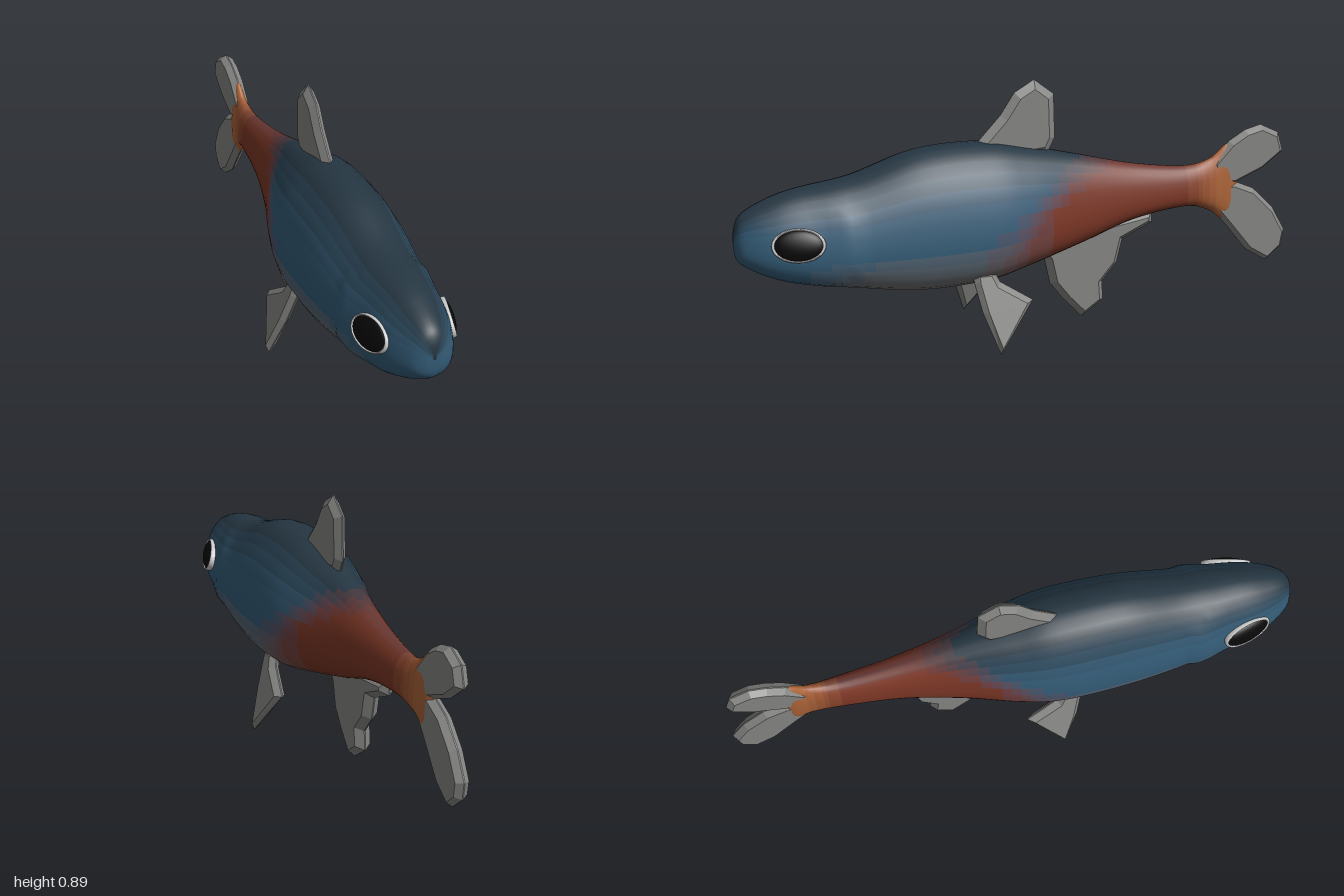
import * as THREE from 'three';

const { smoothstep, lerp, clamp } = THREE.MathUtils;
const mat = (color) => new THREE.MeshStandardMaterial({ color });
const curve = (pts) => new THREE.SplineCurve(pts.map(([a, b]) => new THREE.Vector2(a, b)));

// Body stations from nose to tail: z, underside y, back y, half width
const STATIONS = [
  [1.0, 0.425, 0.435, 0.004], [0.995, 0.37, 0.48, 0.035], [0.97, 0.34, 0.52, 0.07],
  [0.9, 0.3, 0.555, 0.11], [0.8, 0.265, 0.585, 0.138], [0.6, 0.228, 0.615, 0.165],
  [0.38, 0.193, 0.682, 0.185], [0.15, 0.2, 0.69, 0.188], [0, 0.235, 0.662, 0.163],
  [-0.2, 0.29, 0.612, 0.105], [-0.4, 0.355, 0.56, 0.068], [-0.6, 0.38, 0.53, 0.048],
  [-0.7, 0.355, 0.548, 0.035], [-0.77, 0.31, 0.595, 0.026], [-0.8, 0.41, 0.49, 0.008],
];
// Half cross-section from keel to ridge: x as a share of half width, y as a share of height
const SECTION = curve([[0, 0], [0.4, 0.035], [0.76, 0.115], [0.94, 0.22], [1, 0.36],
  [0.95, 0.54], [0.82, 0.73], [0.58, 0.88], [0.3, 0.975], [0, 1]]);

// Skin colour at a point: blue flank, dark back, grey belly, red wedge, orange tail root
const step = (w) => Math.round(clamp(w, 0, 1) * 5) / 5;
function skinColor(z, v) {
  const c = new THREE.Color(0x335b76);
  const limit = lerp(0.3, 0.95, smoothstep(-z, -0.15, 0.4));
  const red = smoothstep(-z, -0.25, 0.12) * (1 - smoothstep(v, limit - 0.1, limit + 0.3));
  c.lerp(new THREE.Color(0x253642), step(smoothstep(v, 0.65, 0.95)));
  c.lerp(new THREE.Color(0x6c6c6c), step((1 - smoothstep(v, 0.08, 0.45)) * smoothstep(-z, -0.85, -0.5)));
  c.lerp(new THREE.Color(0x7a3625), step(red));
  c.lerp(new THREE.Color(0xab6338), step(smoothstep(-z, 0.58, 0.74)));
  return c.getHex();
}

function makeBody() {
  const group = new THREE.Group();
  group.name = 'body';
  const along = curve(STATIONS.map((s) => [s[0], s[3]]));
  const heights = curve(STATIONS.map((s) => [s[1], s[2]]));
  const rows = 84, half = 16, cols = half * 2;
  const pos = [], info = [], index = [];
  for (let i = 0; i <= rows; i++) {
    const zw = along.getPoint(i / rows), h = heights.getPoint(i / rows);
    for (let j = 0; j < cols; j++) {
      const side = j <= half ? 1 : -1;
      const p = SECTION.getPoint((side > 0 ? j : cols - j) / half);
      const y = lerp(h.x, h.y, p.y);
      // Raised rear edge of the gill cover
      const edge = zw.x - 0.6 - 3 * (y - 0.43) ** 2;
      const gill = edge > 0 ? 0.011 * (1 - smoothstep(edge, 0.02, 0.14)) * p.x : 0;
      pos.push(side * (p.x * zw.y + gill), y, zw.x);
      info.push([zw.x, p.y]);
    }
  }
  const patches = new Map();
  for (let i = 0; i < rows; i++) {
    for (let j = 0; j < cols; j++) {
      const k = (j + 1) % cols;
      const a = i * cols + j, b = i * cols + k, c = a + cols, d = b + cols;
      const quad = [a, c, b, b, c, d];
      index.push(...quad);
      const color = skinColor((info[a][0] + info[d][0]) / 2, (info[a][1] + info[d][1]) / 2);
      if (!patches.has(color)) patches.set(color, []);
      patches.get(color).push(...quad);
    }
  }
  const whole = new THREE.BufferGeometry();
  whole.setAttribute('position', new THREE.Float32BufferAttribute(pos, 3));
  whole.setIndex(index);
  whole.computeVertexNormals();
  // One mesh per colour, sharing the normals of the whole skin
  for (const [color, faces] of patches) {
    whole.setIndex(faces);
    const mesh = new THREE.Mesh(whole.toNonIndexed(), mat(color));
    mesh.name = 'skinPatch';
    group.add(mesh);
  }
  return group;
}

// Flat fin in the z-y plane with a bevelled rim; outline points are [z, y]
function makeFin(name, outline, thick, bevel, color = 0x858583) {
  const shape = new THREE.Shape(outline.map(([z, y]) => new THREE.Vector2(-z, y)));
  const geo = new THREE.ExtrudeGeometry(shape, {
    depth: 0.004, bevelThickness: thick, bevelSize: bevel, bevelOffset: -bevel, bevelSegments: 1,
  });
  geo.translate(0, 0, -0.002).rotateY(Math.PI / 2);
  const mesh = new THREE.Mesh(geo, mat(color));
  mesh.name = name;
  return mesh;
}

function makeEye(side) {
  const eye = new THREE.Group();
  eye.name = side > 0 ? 'leftEye' : 'rightEye';
  const pupil = new THREE.Mesh(new THREE.SphereGeometry(1, 28, 16), mat(0x080808));
  pupil.name = 'pupil';
  pupil.scale.set(0.083, 0.052, 0.022);
  const ring = new THREE.Mesh(new THREE.TorusGeometry(1, 0.07, 8, 32), mat(0xcccccc));
  ring.name = 'eyeRing';
  ring.scale.set(0.083, 0.053, 0.16);
  eye.add(pupil, ring);
  eye.position.set(side * 0.13, 0.436, 0.81);
  eye.lookAt(side * (0.13 + 0.92), 0.436 + 0.25, 0.81 + 0.24);
  return eye;
}

export function createModel() {
  const model = new THREE.Group();
  model.name = 'fish';
  model.add(makeBody());

  // Fins on the centre line
  model.add(
    makeFin('dorsalFin', [[0.17, 0.66], [0.155, 0.695], [0.08, 0.775], [0.03, 0.85], [-0.04, 0.89],
      [-0.11, 0.835], [-0.115, 0.68], [-0.09, 0.63], [0.03, 0.62]], 0.019, 0.025),
    makeFin('analFin', [[-0.05, 0.29], [-0.08, 0.24], [-0.1, 0.15], [-0.15, 0.085], [-0.22, 0.01],
      [-0.3, 0.065], [-0.295, 0.135], [-0.35, 0.2], [-0.37, 0.285], [-0.48, 0.335], [-0.48, 0.385],
      [-0.25, 0.35]], 0.027, 0.022),
    makeFin('upperTailLobe', [[-0.7, 0.53], [-0.77, 0.605], [-0.83, 0.64], [-0.89, 0.655], [-0.96, 0.62],
      [-0.98, 0.55], [-0.9, 0.49], [-0.79, 0.445], [-0.72, 0.46]], 0.022, 0.016),
    makeFin('lowerTailLobe', [[-0.72, 0.45], [-0.79, 0.455], [-0.87, 0.42], [-0.95, 0.34], [-1, 0.25],
      [-0.99, 0.19], [-0.93, 0.14], [-0.85, 0.19], [-0.77, 0.29], [-0.7, 0.375]], 0.022, 0.016),
  );

  // Paired parts
  for (const side of [1, -1]) {
    model.add(makeEye(side));
    const fin = makeFin(side > 0 ? 'leftPelvicFin' : 'rightPelvicFin', [[0.22, 0.28], [0.22, 0.24],
      [0.2, 0.14], [0.15, 0], [0.02, 0.165], [0.13, 0.235], [0.15, 0.28]], 0.018, 0.018);
    // Splay outwards towards the tip
    const p = fin.geometry.attributes.position;
    for (let i = 0; i < p.count; i++) {
      p.setX(i, p.getX(i) + side * (0.14 + (0.25 - p.getY(i)) * 0.32));
    }
    fin.geometry.computeVertexNormals();
    model.add(fin);
  }
  return model;
}
